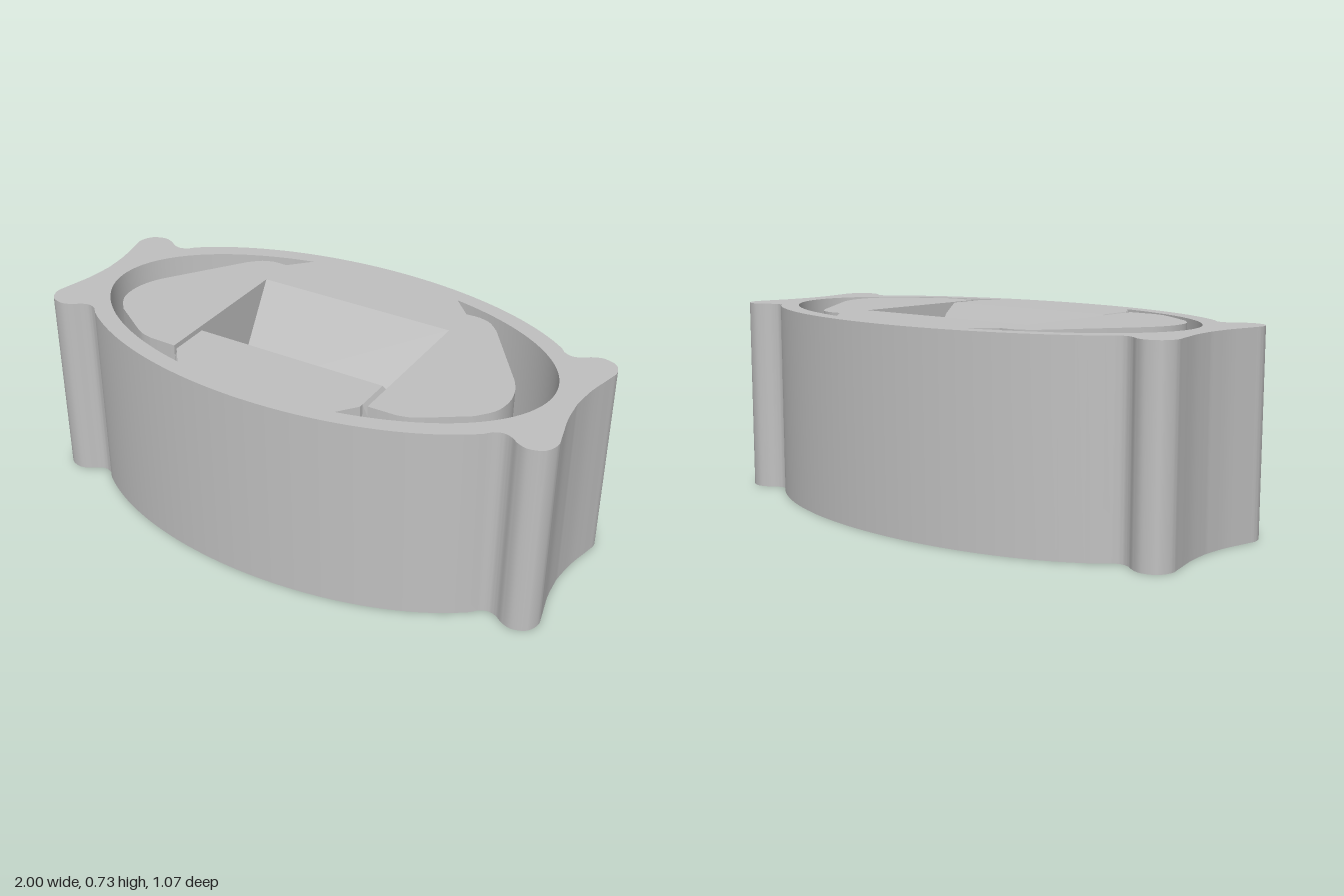
import * as THREE from 'three';
import { toCreasedNormals } from 'three/addons/utils/BufferGeometryUtils.js';
import { ConvexGeometry } from 'three/addons/geometries/ConvexGeometry.js';

const H = 0.73;      // height of the clip
const WINDOW = 0.385; // half width of the jaw window

const v2 = (p) => new THREE.Vector2(p[0], p[1]);
const spline = (pts, n) => new THREE.SplineCurve(pts.map(v2)).getPoints(n);
const flip = (pts, sx, sz) => pts.map((p) => new THREE.Vector2(p.x * sx, p.y * sz)).reverse();

// Points on an ellipse from angle t0 to t1
function ellipse(a, b, t0, t1, n) {
  return Array.from({ length: n + 1 }, (_, i) => {
    const t = t0 + ((t1 - t0) * i) / n;
    return new THREE.Vector2(a * Math.cos(t), b * Math.sin(t));
  });
}

// Outer outline: one quarter (oval, ear, hollow end), mirrored twice
function outerOutline() {
  const quarter = [
    ...ellipse(0.957, 0.535, Math.PI / 2, Math.acos(0.775 / 0.957), 24),
    ...spline([[0.795, 0.291], [0.826, 0.279], [0.858, 0.287], [0.89, 0.309], [0.93, 0.32],
      [0.978, 0.302], [1, 0.255], [0.992, 0.205], [0.969, 0.1], [0.96, 0]], 50),
  ];
  const half = [...quarter, ...flip(quarter, 1, -1).slice(1)];
  return [...half, ...flip(half, -1, 1).slice(1, -1)];
}

// Opening: both crescent gaps, the slits and the jaw window in one loop
function openingOutline() {
  const t = Math.acos(0.31 / 0.875);
  const right = [
    ...flip([
      // ring inside, from the front notch to the back notch
      new THREE.Vector2(0.365, 0.36),
      new THREE.Vector2(0.365, 0.375),
      ...ellipse(0.875, 0.476, t, -t, 56),
      // wing, from the back neck round to the slit
      v2([WINDOW, -0.365]),
      v2([0.42, -0.367]),
      ...spline([[0.44, -0.366], [0.485, -0.35], [0.53, -0.308]], 10),
      ...spline([[0.725, -0.03], [0.752, 0.025], [0.766, 0.095], [0.754, 0.17], [0.705, 0.237]], 24),
      ...spline([[0.575, 0.325], [0.535, 0.348], [0.49, 0.36]], 8),
      v2([WINDOW, 0.362]),
      v2([WINDOW, -0.225]),
    ], 1, 1),
  ];
  return [...right, ...flip(right, -1, 1)];
}

// Convex block from points given for one side and mirrored in x
function mirroredBlock(points) {
  return new ConvexGeometry(points.flatMap(([x, y, z]) => [
    new THREE.Vector3(x, y, z), new THREE.Vector3(-x, y, z)]));
}

export function createModel() {
  const group = new THREE.Group();
  const grey = new THREE.MeshStandardMaterial({ color: 0xc0c0c0 });
  grey.name = 'light grey';
  const add = (name, geometry) => {
    const mesh = new THREE.Mesh(geometry, grey);
    mesh.name = name;
    group.add(mesh);
  };

  // Ring, ears, wings and necks
  const shape = new THREE.Shape(outerOutline());
  shape.holes.push(new THREE.Path(openingOutline()));
  const body = new THREE.ExtrudeGeometry(shape, { depth: H, bevelEnabled: false });
  body.rotateX(Math.PI / 2).translate(0, H, 0);
  add('clipBody', toCreasedNormals(body, 0.5));

  // Back jaw: a wedge with its edge at mid height
  add('backJaw', mirroredBlock([
    [WINDOW, 0, -0.225], [WINDOW, H, -0.225], [WINDOW, H / 2, 0]]));

  // Front jaw: the facing wedge, chamfered along its sides
  const c = (H / 2) * (0.025 / 0.225);
  add('frontJaw', mirroredBlock([
    [WINDOW, H / 2, 0],
    [WINDOW, c, 0.2], [WINDOW, H - c, 0.2], [WINDOW, c, 0.36], [WINDOW, H - c, 0.36],
    [0.365, 0, 0.225], [0.365, H, 0.225], [0.365, 0, 0.36], [0.365, H, 0.36]]));

  return group;
}
